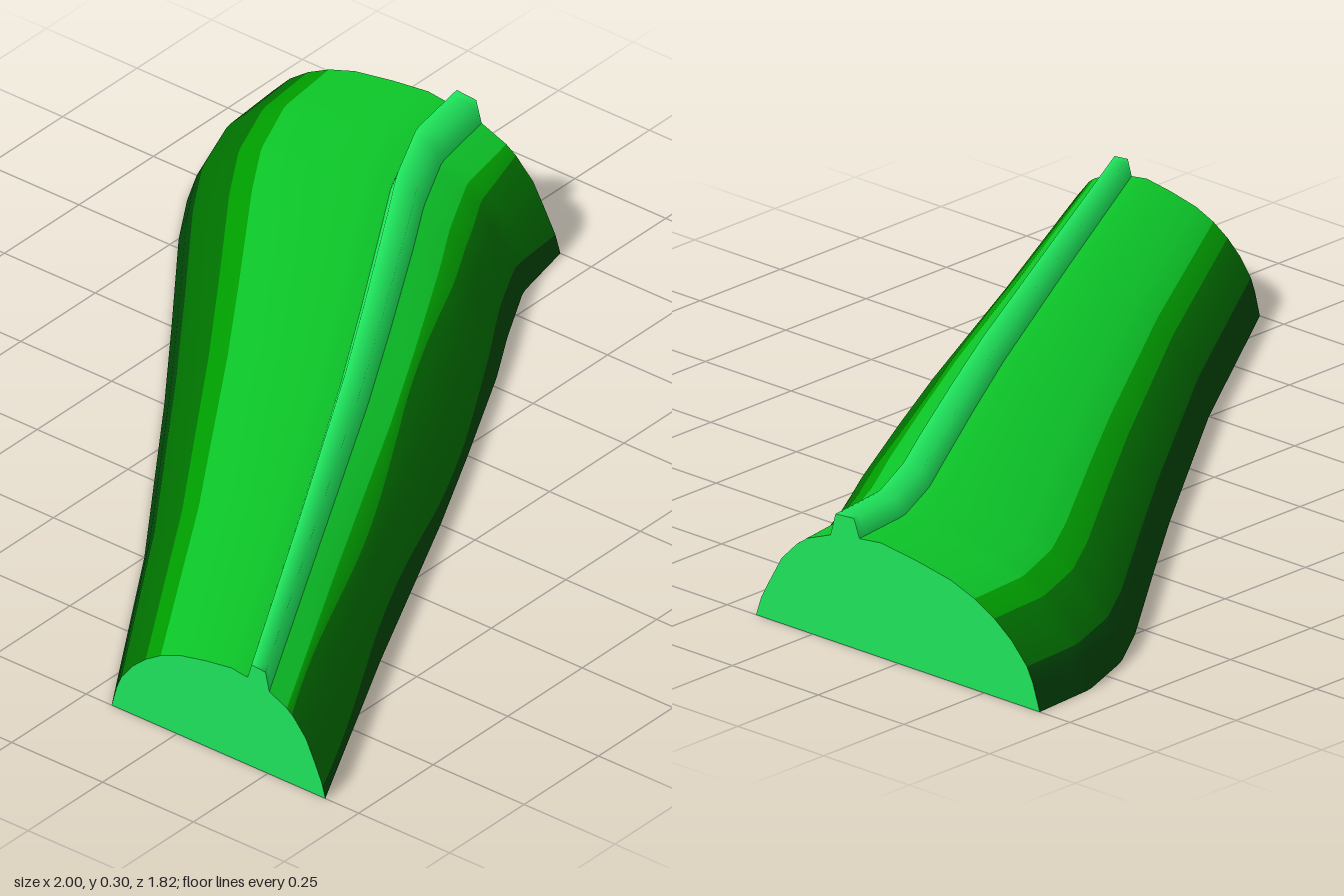
import * as THREE from 'three';

// Sweep path: x, front edge z, back edge z
const PATH = [
  [-1, 0.908, 0.32], [-0.5, 0.65, 0], [0, 0.405, -0.355], [0.25, 0.275, -0.54],
  [0.53, 0.125, -0.75], [0.67, 0.04, -0.84], [0.83, -0.048, -0.9], [1, -0.085, -0.912],
];

// Cross-section points: fraction from front to back edge, height at the tall end
const FRONT = [[0, 0], [0.018, 0.045], [0.055, 0.1], [0.09, 0.15], [0.145, 0.195], [0.18, 0.215], [0.262, 0.241]];
const RIDGE = [[0.262, 0.241], [0.28, 0.293], [0.345, 0.297], [0.364, 0.255]];
const BACK = [[0.364, 0.255], [0.44, 0.262], [0.56, 0.25], [0.685, 0.232], [0.77, 0.208],
  [0.84, 0.178], [0.9, 0.142], [0.955, 0.094], [0.976, 0.06], [1, 0]];

// Point on the path at any x
function stationAt(x) {
  const i = Math.max(1, PATH.findIndex((p) => p[0] >= x));
  const [a, b] = [PATH[i - 1], PATH[i]];
  return a.map((v, c) => THREE.MathUtils.lerp(v, b[c], (x - a[0]) / (b[0] - a[0])));
}

// Evenly spaced stations between two x values
function stationsBetween(x0, x1, count) {
  return Array.from({ length: count + 1 }, (_, i) => stationAt(x0 + (x1 - x0) * i / count));
}
const WHOLE = stationsBetween(-1, 1, 100);

// Place a section point at a station
function place([x, front, back], [t, h]) {
  const scale = THREE.MathUtils.lerp(0.86, 1, (x + 1) / 2);
  return [x, h * scale, THREE.MathUtils.lerp(front, back, t)];
}

// Colour borders on the front slope undulate along the length
function undulate([t, h], j, x) {
  const c = Math.cos((x + 0.35) * Math.PI * 2 / 1.05);
  if (j === 1) return [t + 0.0075 * c, h + 0.018 * c];
  if (j === 4) return [t - 0.014 * c, h - 0.011 * c];
  return [t, h];
}
const straight = (p) => p;

// Sweep an open section; bands gives one material index per strip
function sweep(section, bands, stations = WHOLE, adjust = straight) {
  const n = section.length, pos = [], index = [];
  const g = new THREE.BufferGeometry();
  for (const s of stations) {
    section.forEach((p, j) => pos.push(...place(s, adjust(p, j, s[0]))));
  }
  for (let j = 0; j < n - 1; j++) {
    const start = index.length;
    for (let i = 0; i < stations.length - 1; i++) {
      const a = i * n + j, b = a + n;
      index.push(a, b, a + 1, b, b + 1, a + 1);
    }
    g.addGroup(start, index.length - start, bands[j]);
  }
  g.setAttribute('position', new THREE.Float32BufferAttribute(pos, 3));
  g.setIndex(index);
  g.computeVertexNormals();
  return g;
}

// Flat end face filling the whole section
function endCap(station, flip) {
  const outline = [...FRONT, ...RIDGE.slice(1), ...BACK.slice(1)].map(([t, h]) => new THREE.Vector2(t, h));
  const shape = new THREE.ShapeGeometry(new THREE.Shape(outline));
  const src = shape.attributes.position, pos = [];
  for (let i = 0; i < src.count; i++) pos.push(...place(station, [src.getX(i), src.getY(i)]));
  const index = Array.from(shape.index.array);
  // ShapeGeometry faces the +x end; turn it round for the other end
  if (flip) index.reverse();
  const g = new THREE.BufferGeometry();
  g.setAttribute('position', new THREE.Float32BufferAttribute(pos, 3));
  g.setIndex(index);
  g.computeVertexNormals();
  return g;
}

export function createModel() {
  const paint = (name, color) => {
    const m = new THREE.MeshStandardMaterial({ color });
    m.name = name;
    return m;
  };
  const pale = paint('paleGreen', 0x1fe65c);
  const top = paint('topGreen', 0x0cc428);
  const band = paint('bandGreen', 0x009c00);
  const side = paint('sideGreen', 0x007000);
  const dark = paint('darkGreen', 0x004606);
  const bodyColours = [top, band, side, dark];

  const group = new THREE.Group();
  group.name = 'embankment';
  const add = (name, geometry, material) => {
    const mesh = new THREE.Mesh(geometry, material);
    mesh.name = name;
    group.add(mesh);
  };

  // Rounded flanks with colour bands
  add('frontSlope', sweep(FRONT, [3, 2, 2, 2, 1, 0], WHOLE, undulate), bodyColours);
  add('backSlope', sweep(BACK, [0, 0, 0, 0, 1, 2, 2, 3, 3]), bodyColours);
  // Raised strip along the crest
  add('crestRidge', sweep(RIDGE, [0, 0, 0]), [pale]);
  // Flat base with a row of pale panels under the ridge
  add('base', sweep([[1, 0.003], [0, 0.003]], [0]), [dark]);
  for (const x of [0.93, 0.51, 0.06, -0.41, -0.91]) {
    const half = Math.min(0.1, 1 - Math.abs(x));
    add('basePanel', sweep([[0.41, 0], [0.2, 0]], [0], stationsBetween(x - half, x + half, 4)), [pale]);
  }
  // Flat ends
  add('leftEnd', endCap(PATH[PATH.length - 1], false), pale);
  add('rightEnd', endCap(PATH[0], true), pale);
  return group;
}
